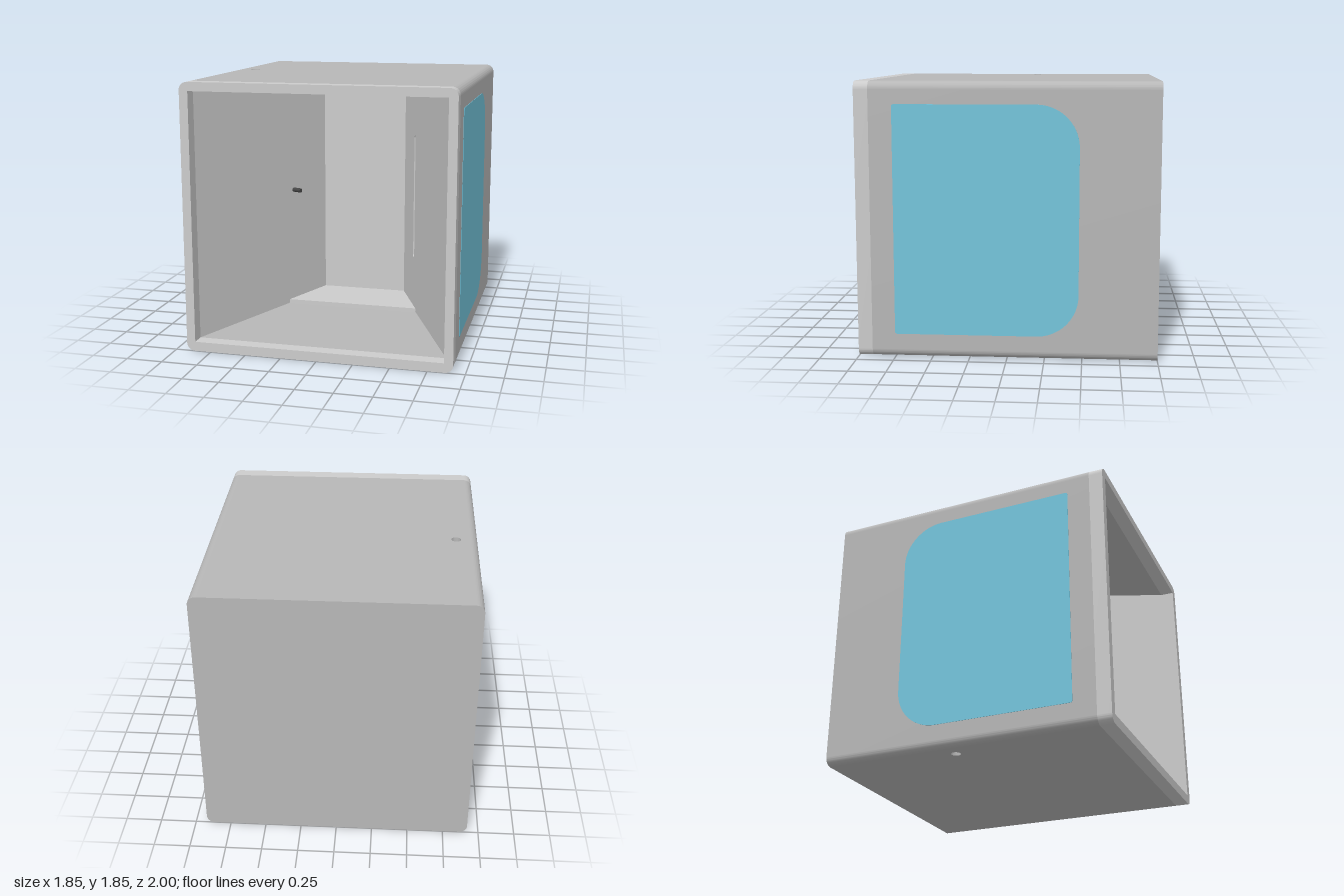
import * as THREE from 'three';
import { toCreasedNormals } from 'three/addons/utils/BufferGeometryUtils.js';

const W = 0.92, H = 1.845, IN = 0.86, FLOOR = 0.065, CEIL = 1.785;
const FRAME_Z = 0.905, BACK_Z = -0.43, BACK_X = 0.32, WALL = 0.03;

const paint = (color) => new THREE.MeshStandardMaterial({ color });
const grey = paint(0xcccccc), shellGrey = paint(0xb7b7b7);
const blue = paint(0x74c4db), dark = paint(0x444444);

// Rectangle outline with a radius per corner: bottom-left, bottom-right, top-right, top-left
function rect(x0, y0, x1, y1, [a, b, c, d] = [0, 0, 0, 0], Type = THREE.Shape) {
  const s = new Type();
  const arc = (x, y, r, start) => {
    if (r) s.absarc(x, y, r, start, start + Math.PI / 2, false);
    else s.lineTo(x, y);
  };
  s.moveTo(x0, y0 + a);
  arc(x0 + a, y0 + a, a, Math.PI);
  arc(x1 - b, y0 + b, b, Math.PI * 1.5);
  arc(x1 - c, y1 - c, c, 0);
  arc(x0 + d, y1 - d, d, Math.PI / 2);
  s.closePath();
  return s;
}

const extrude = (shape, depth) => toCreasedNormals(
  new THREE.ExtrudeGeometry(shape, { depth, bevelEnabled: false, curveSegments: 14 }), 0.6);

// Extrudes a plan shape (x, -z) upward
const slab = (shape, height) => extrude(shape, height).rotateX(-Math.PI / 2);

export function createModel() {
  const model = new THREE.Group();
  const add = (name, geometry, material = grey) => {
    const mesh = new THREE.Mesh(geometry, material);
    mesh.name = name;
    model.add(mesh);
    return mesh;
  };

  // Front frame
  const r = 0.055;
  const frame = rect(-W, 0, W, H, [r, r, r, r]);
  frame.holes.push(rect(-IN, FLOOR, IN, CEIL, undefined, THREE.Path));
  add('frontFrame', extrude(frame, 1 - FRAME_Z).translate(0, 0, FRAME_Z));

  // Outer shell: rounded sides, top and bottom with a small hole, closed back
  const depth = FRAME_Z + 1;
  add('leftSide', extrude(rect(IN, 0, W, H, [0, r, r, 0]), depth).translate(0, 0, -1), shellGrey);
  add('rightSide', extrude(rect(-W, 0, -IN, H, [r, 0, 0, r]), depth).translate(0, 0, -1), shellGrey);
  const plate = rect(-IN, -FRAME_Z, IN, 1);
  plate.holes.push(new THREE.Path().absarc(-0.77, 0.11, 0.033, 0, Math.PI * 2, true));
  add('bottomPlate', slab(plate, FLOOR), shellGrey);
  add('topPlate', slab(plate, H - CEIL).translate(0, CEIL, 0), shellGrey);
  add('backPlate', new THREE.BoxGeometry(IN * 2, CEIL - FLOOR, 0.06)
    .translate(0, (CEIL + FLOOR) / 2, -0.97), shellGrey);

  // Side windows, strongly rounded towards the back
  for (const s of [1, -1]) {
    const radii = s > 0 ? [0.015, 0.28, 0.28, 0.015] : [0.28, 0.015, 0.015, 0.28];
    const [x0, x1] = s > 0 ? [-0.75, 0.475] : [-0.475, 0.75];
    const pane = add(s > 0 ? 'leftWindow' : 'rightWindow',
      extrude(rect(x0, 0.16, x1, 1.695, radii), 0.023), blue);
    pane.rotation.y = s * Math.PI / 2;
    pane.position.x = s * (W - 0.02);
  }

  // Slanted inner walls; the left one has a tall slot
  const run = FRAME_Z - BACK_Z, inset = IN - BACK_X, length = Math.hypot(run, inset);
  for (const s of [1, -1]) {
    const shape = rect(0, FLOOR, length, CEIL);
    if (s > 0) {
      const mid = length * 0.75, w = 0.02;
      shape.holes.push(rect(mid - w, 0.465, mid + w, 1.385, [w, w, w, w], THREE.Path));
    }
    const wall = add(s > 0 ? 'leftInnerWall' : 'rightInnerWall',
      extrude(shape, WALL).translate(0, 0, s > 0 ? 0 : -WALL));
    wall.position.set(s * IN, 0, FRAME_Z);
    wall.rotation.y = Math.atan2(run, -s * inset);
  }
  add('innerBackWall', new THREE.BoxGeometry(BACK_X * 2 + 0.03, CEIL - FLOOR, WALL)
    .translate(0, (CEIL + FLOOR) / 2, BACK_Z - WALL / 2));

  // Tapered ledges at floor and ceiling
  const ledge = new THREE.Shape([[-0.49, 0], [0.49, 0], [BACK_X, -BACK_Z], [-BACK_X, -BACK_Z]]
    .map(([x, y]) => new THREE.Vector2(x, y)));
  add('floorLedge', slab(ledge, 0.03).translate(0, FLOOR, 0));
  add('ceilingLedge', slab(ledge, 0.03).translate(0, CEIL - 0.03, 0));

  // Peg passing through the right inner wall
  const from = new THREE.Vector3(-0.745, 0.945, -0.165), to = new THREE.Vector3(-0.405, 0.945, -0.04);
  const peg = add('peg', new THREE.CylinderGeometry(0.016, 0.016, from.distanceTo(to), 20), dark);
  peg.position.lerpVectors(from, to, 0.5);
  peg.quaternion.setFromUnitVectors(new THREE.Vector3(0, 1, 0), to.clone().sub(from).normalize());

  return model;
}
